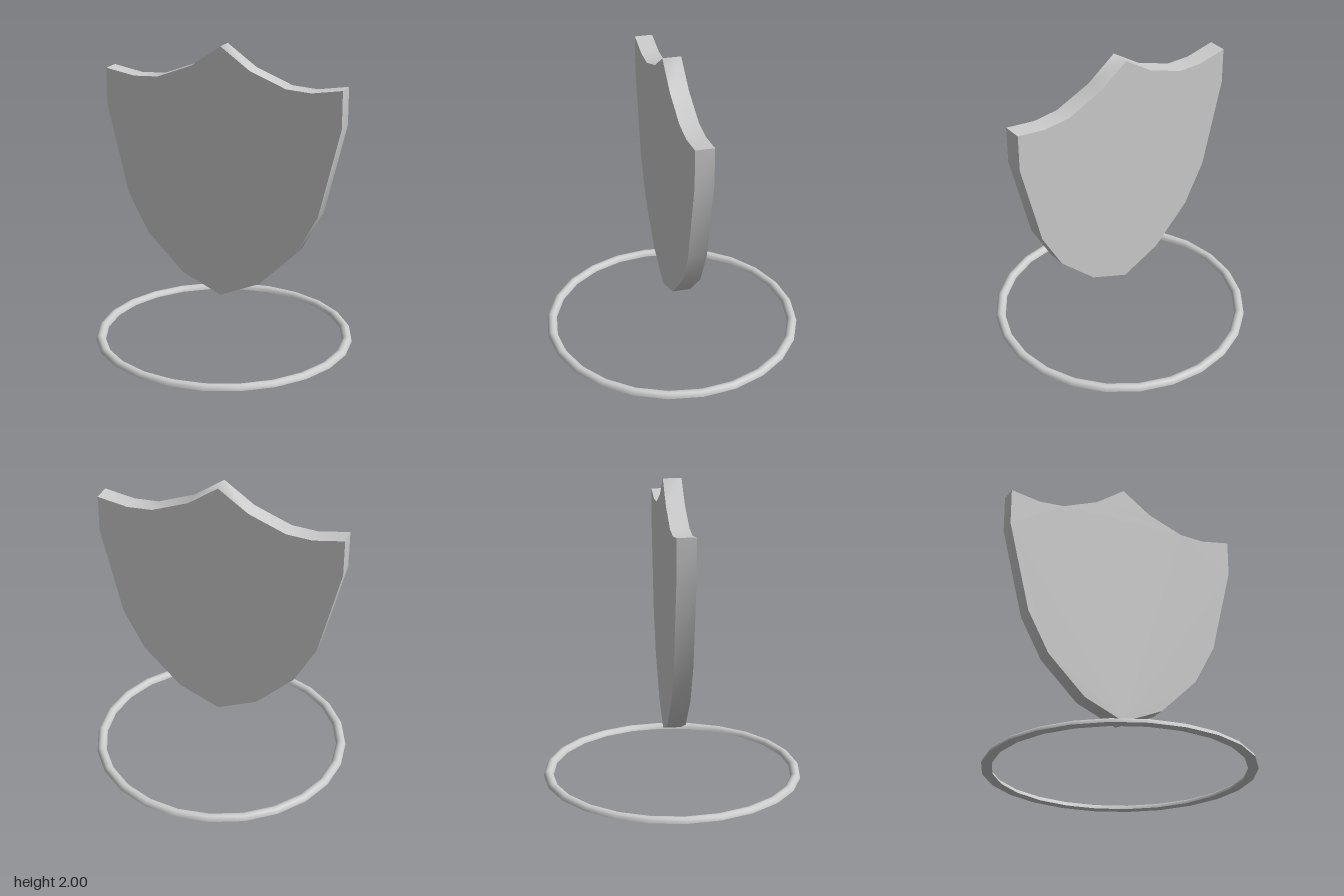
import * as THREE from 'three';
import { toCreasedNormals } from 'three/addons/utils/BufferGeometryUtils.js';

const material = new THREE.MeshStandardMaterial({ color: 0xcccccc, side: THREE.DoubleSide });

function addPart(group, name, geometry, creaseAngle) {
  const mesh = new THREE.Mesh(toCreasedNormals(geometry, creaseAngle), material);
  mesh.name = name;
  group.add(mesh);
  return mesh;
}

// Half outline from the top peak down to the bottom point, mirrored across x
function shieldGeometry(depth) {
  const half = [
    [0, 2], [0.2, 1.86], [0.445, 1.765], [0.615, 1.755], [0.818, 1.79],
    [0.818, 1.545], [0.675, 0.95], [0.53, 0.68], [0.275, 0.43], [0, 0.31],
  ];
  const mirrored = half.slice(1, -1).reverse().map(([x, y]) => [-x, y]);
  const outline = [...half, ...mirrored].map(([x, y]) => new THREE.Vector2(x, y));
  const geometry = new THREE.ExtrudeGeometry(new THREE.Shape(outline), { depth, bevelEnabled: false });
  return geometry.translate(0, 0, -depth / 2);
}

// Half-round band with a flat underside
function ringGeometry(radius, tube, sides) {
  const steps = 6;
  const profile = [];
  for (let i = 0; i <= steps; i++) {
    const a = (i / steps) * Math.PI;
    profile.push(new THREE.Vector2(radius + tube * Math.cos(a), i === steps ? 0 : tube * Math.sin(a)));
  }
  profile.push(profile[0].clone());
  return new THREE.LatheGeometry(profile, sides);
}

export function createModel() {
  const group = new THREE.Group();
  group.name = 'shieldMarker';
  addPart(group, 'shield', shieldGeometry(0.12), 1.3);
  addPart(group, 'groundRing', ringGeometry(0.835, 0.033, 24), 0.9);
  return group;
}
